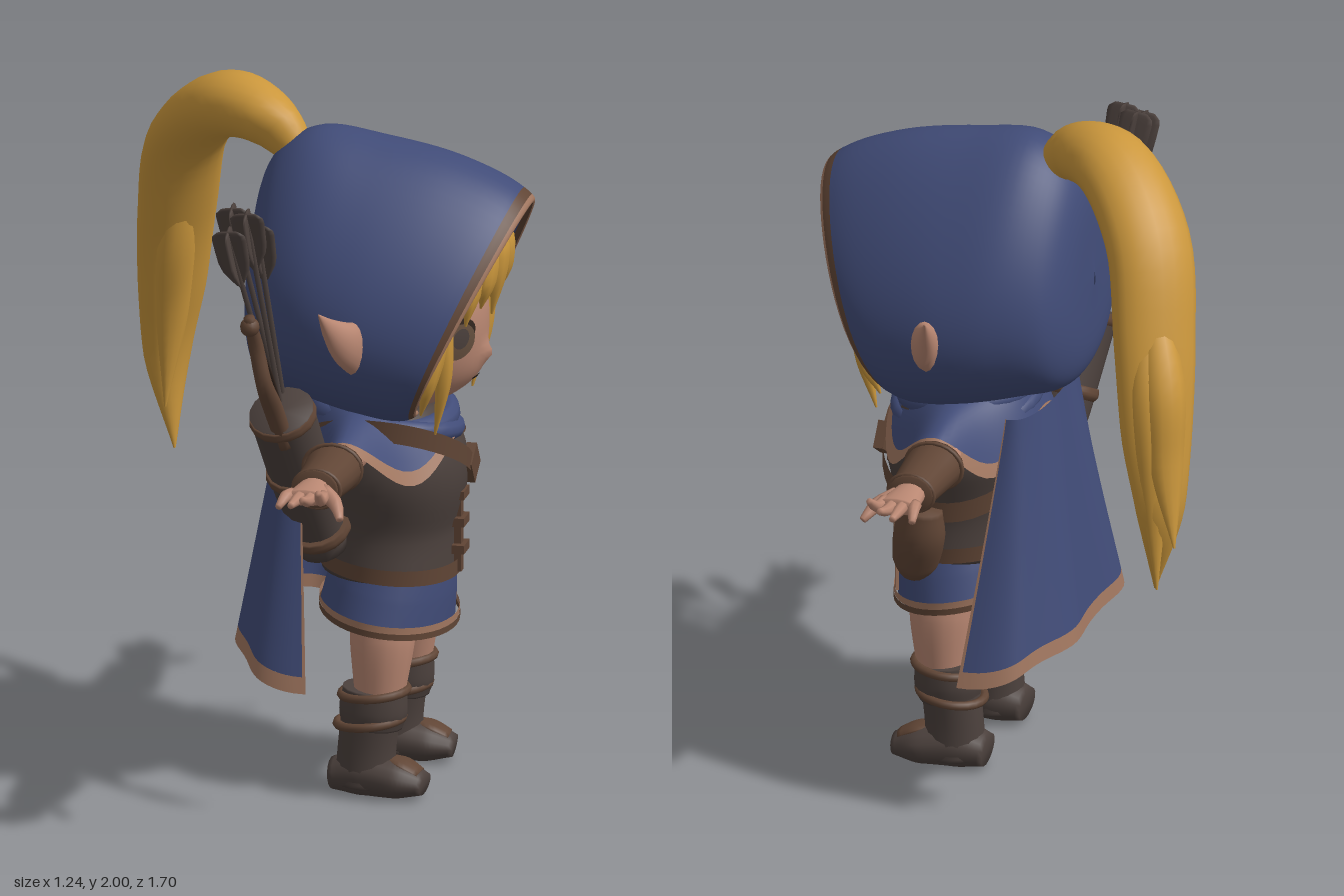
import * as THREE from 'three';
import { mergeVertices } from 'three/addons/utils/BufferGeometryUtils.js';

const mat = (name, color, side = THREE.FrontSide) => {
  const m = new THREE.MeshStandardMaterial({ color, side });
  m.name = name;
  return m;
};
const V = (x, y, z) => new THREE.Vector3(x, y, z);
const lerp = THREE.MathUtils.lerp;

// Smooth surface from a rule fn(u, v) over a range of u and v
function sheet(fn, nu, nv, [u0, u1, v0, v1] = [0, 1, 0, 1]) {
  const pos = [], idx = [];
  for (let j = 0; j <= nv; j++)
    for (let i = 0; i <= nu; i++) pos.push(...fn(lerp(u0, u1, i / nu), lerp(v0, v1, j / nv)).toArray());
  for (let j = 0; j < nv; j++)
    for (let i = 0; i < nu; i++) {
      const a = j * (nu + 1) + i, b = a + 1, c = b + nu + 1, d = a + nu + 1;
      idx.push(a, b, c, a, c, d);
    }
  let g = new THREE.BufferGeometry();
  g.setAttribute('position', new THREE.Float32BufferAttribute(pos, 3));
  g.setIndex(idx);
  g = mergeVertices(g, 1e-5);
  g.computeVertexNormals();
  return g;
}

// Closed tapering form along a path; radii are [along side, across side]
function tube(pts, radii, side = V(1, 0, 0), nu = 16, nv = 20) {
  const path = new THREE.CatmullRomCurve3(pts.map(p => V(...p)));
  const size = new THREE.CatmullRomCurve3(radii.map(r => (Array.isArray(r) ? V(r[0], r[1], 0) : V(r, r, 0))));
  return sheet((u, v) => {
    const t = THREE.MathUtils.clamp((v * (nv + 2) - 1) / nv, 0, 1);
    const T = path.getTangent(t), N = side.clone().addScaledVector(T, -T.dot(side)).normalize();
    const B = T.clone().cross(N), r = size.getPoint(t), k = v < 1e-6 || v > 1 - 1e-6 ? 0 : 1;
    const a = u * Math.PI * 2;
    return path.getPoint(t).addScaledVector(N, k * r.x * Math.cos(a)).addScaledVector(B, k * r.y * Math.sin(a));
  }, nu, nv + 2);
}

export function createModel() {
  const D = THREE.DoubleSide;
  const blue = mat('blueCloth', 0x414c78, D), trim = mat('clothTrim', 0xa0765f, D), gold = mat('goldenHair', 0xcb973c);
  const skin = mat('skin', 0xb98772), brown = mat('brownLeather', 0x604535, D), dark = mat('darkLeather', 0x4c413d);
  const black = mat('lashes', 0x33261f), iris = mat('iris', 0x66503f);
  const root = new THREE.Group();
  const add = (name, geo, m, parent = root) => {
    const o = new THREE.Mesh(geo, m);
    o.name = name;
    parent.add(o);
    return o;
  };
  const group = name => {
    const g = new THREE.Group();
    g.name = name;
    root.add(g);
    return g;
  };
  const X = V(1, 0, 0), Y = V(0, 1, 0), Z = V(0, 0, 1);

  // Head with a slightly projecting muzzle and nose
  const head = group('head');
  const bump = (y, z) => 0.03 * Math.exp(-(((y - 1.2) / 0.09) ** 2) - (z / 0.13) ** 2)
    + 0.02 * Math.exp(-(((y - 1.27) / 0.025) ** 2) - (z / 0.025) ** 2);
  const faceX = (y, z) => 0.21 + 0.285 * Math.sqrt(Math.max(0, 1 - ((y - 1.37) / 0.28) ** 2 - (z / 0.28) ** 2)) + bump(y, z);
  const skull = new THREE.SphereGeometry(1, 64, 48).scale(0.285, 0.28, 0.28).translate(0.21, 1.37, 0);
  const sp = skull.attributes.position;
  for (let i = 0; i < sp.count; i++)
    if (sp.getX(i) > 0.21) sp.setX(i, sp.getX(i) + bump(sp.getY(i), sp.getZ(i)));
  skull.computeVertexNormals();
  add('face', skull, skin, head);
  const patch = (name, y, z, h, w, lift, m) => {
    const g = new THREE.RingGeometry(0, 1, 24, 5), p = g.attributes.position;
    for (let i = 0; i < p.count; i++) {
      const py = y + p.getY(i) * h, pz = z - p.getX(i) * w;
      p.setXYZ(i, faceX(py, pz) + lift, py, pz);
    }
    g.computeVertexNormals();
    add(name, g, m, head);
  };
  for (const s of [1, -1]) {
    patch('eyeLash', 1.368, s * 0.16, 0.044, 0.07, 0.004, black);
    patch('eye', 1.342, s * 0.152, 0.053, 0.055, 0.007, iris);
    patch('pupil', 1.352, s * 0.15, 0.03, 0.026, 0.009, dark);
    // Pointed ears through the hood
    add('ear', tube([[0.2, 1.36, s * 0.33], [0.19, 1.4, s * 0.41], [0.16, 1.46, s * 0.48], [0.14, 1.525, s * 0.545]],
      [[0.08, 0.035], [0.065, 0.038], [0.033, 0.022], 0.002], Y), skin, head);
  }
  patch('mouth', 1.205, 0, 0.007, 0.05, 0.004, black);

  // Hair cap, fringe and side locks
  const hair = group('hair');
  add('hairCap', new THREE.SphereGeometry(1, 32, 24).scale(0.3, 0.18, 0.28).translate(0.21, 1.52, 0), gold, hair);
  for (const [z, tip, tz] of [[-0.2, 1.33, -0.25], [-0.13, 1.41, -0.19], [-0.05, 1.43, -0.1],
    [0.02, 1.39, 0.02], [0.09, 1.43, 0.1], [0.15, 1.4, 0.18], [0.21, 1.33, 0.25]]) {
    const zz = z * z;
    add('fringeLock', tube([[0.43, 1.68 - 3 * zz, z * 0.6], [0.53 - 2 * zz, 1.61 - 2.2 * zz, z * 0.85],
      [0.535 - 2 * zz, 1.52 - 1.4 * zz, (z + tz) / 2], [0.515 - 1.7 * zz, tip, tz]],
    [0.02, [0.03, 0.058], [0.025, 0.055], 0.003], X, 10, 12), gold, hair);
  }
  for (const s of [1, -1])
    for (const [z, y, x] of [[0.225, 1.09, 0.4], [0.275, 1.16, 0.37]])
      add('sideLock', tube([[0.41, 1.53, s * 0.2], [0.43, 1.42, s * 0.255], [x + 0.03, 1.27, s * (z + 0.025)], [x, y, s * z]],
        [0.03, [0.03, 0.04], [0.025, 0.035], 0.003], X, 10, 14), gold, hair);

  // Ponytail rising from the hood and falling to one side
  const tail = group('ponytail');
  add('ponytailMain', tube([[-0.03, 1.8, 0], [-0.14, 1.89, -0.05], [-0.28, 1.9, -0.14], [-0.43, 1.76, -0.28], [-0.49, 1.5, -0.39],
    [-0.52, 1.25, -0.455], [-0.54, 1.02, -0.48], [-0.51, 0.77, -0.44]],
  [0.04, [0.08, 0.09], [0.095, 0.115], [0.085, 0.125], [0.075, 0.12], [0.065, 0.105], [0.05, 0.07], 0.003], V(-0.4, 0.5, -0.4), 20, 40), gold, tail);
  for (const [x, y, z, dx, dz] of [[-0.61, 0.96, -0.56, -0.04, -0.05], [-0.54, 0.8, -0.51, 0, -0.05], [-0.53, 0.9, -0.41, 0.02, 0.05]])
    add('ponytailLock', tube([[-0.46, 1.66, -0.34], [-0.51 + dx, 1.4, -0.42 + dz], [-0.53 + dx, 1.18, -0.46 + dz], [x, y, z]],
      [0.03, [0.045, 0.06], [0.035, 0.05], 0.003], V(-0.7, 0, -0.7), 12, 20), gold, tail);

  // Hood: rings from back to opening, then folded inside; each is top x, top y, half width, bottom x, bottom y
  const hood = group('hood');
  const rings = [[-0.17, 1.5, 0.005, -0.17, 1.46], [-0.14, 1.76, 0.2, -0.16, 1.24], [-0.08, 1.85, 0.28, -0.12, 1.17],
    [0.02, 1.9, 0.34, 0, 1.13], [0.2, 1.88, 0.375, 0.12, 1.1], [0.4, 1.84, 0.375, 0.22, 1.08], [0.57, 1.77, 0.355, 0.29, 1.08],
    [0.625, 1.72, 0.33, 0.32, 1.1], [0.57, 1.69, 0.305, 0.28, 1.13], [0.25, 1.7, 0.28, 0.15, 1.16]];
  const tops = new THREE.CatmullRomCurve3(rings.map(r => V(r[0], r[1], r[2])));
  const lows = new THREE.CatmullRomCurve3(rings.map(r => V(r[3], r[4], 0)));
  const hoodAt = (u, v) => {
    const a = u * Math.PI * 2, c = Math.cos(a), p = tops.getPoint(v), q = lows.getPoint(v), k = (1 + c) / 2;
    return V(lerp(q.x, p.x, k), lerp(q.y, p.y, k), p.z * Math.sin(a) * (1 - 0.3 * c));
  };
  add('hoodShell', sheet(hoodAt, 56, 36, [0, 1, 0, 0.7]), blue, hood);
  add('hoodBinding', sheet(hoodAt, 56, 3, [0, 1, 0.7, 0.74]), brown, hood);
  add('hoodTrim', sheet(hoodAt, 56, 5, [0, 1, 0.74, 0.81]), trim, hood);
  add('hoodInnerBinding', sheet(hoodAt, 56, 4, [0, 1, 0.81, 0.85]), brown, hood);
  add('hoodLining', sheet(hoodAt, 56, 8, [0, 1, 0.85, 1]), blue, hood);

  // Cape with a trimmed edge
  const cape = group('cape');
  const capeAt = (u, v) => {
    const a = (u - 0.5) * Math.PI, s = Math.sin(a), c = Math.max(0, Math.cos(a));
    const edge = lerp(0.01, 0.08, v), back = lerp(-0.07, -0.185, v);
    const fold = 0.012 * v * Math.cos(a * 8);
    return V(lerp(edge, back, c ** 0.75) + fold * c, lerp(1.12, 0.44 - 0.07 * s ** 4, v),
      lerp(0.24, 0.45, v ** 1.15) * Math.sign(s) * Math.abs(s) ** 0.8);
  };
  add('capeCloth', sheet(capeAt, 48, 20, [0.004, 0.996, 0, 0.94]), blue, cape);
  add('capeHem', sheet(capeAt, 48, 2, [0, 1, 0.94, 1]), trim, cape);
  for (const u of [0, 0.996]) add('capeSideTrim', sheet(capeAt, 2, 20, [u, u + 0.004, 0, 0.94]), trim, cape);

  // Shoulder mantle draped over the arms, and scarf
  const mantle = group('mantle');
  const mantleAt = (u, v) => {
    const a = u * Math.PI * 2, s = Math.abs(Math.sin(a)), c = Math.cos(a);
    const hem = 1.04 - 0.1 * Math.sin(2 * a) ** 2 + 0.045 * s ** 6;
    const wide = lerp(0.12, 0.37 + 0.04 * s ** 8, v);
    return V(0.17 + c * lerp(0.13, c > 0 ? 0.25 : 0.19, v), lerp(1.15, hem, v ** 1.5), Math.sin(a) * wide);
  };
  add('mantleCloth', sheet(mantleAt, 64, 10, [0, 1, 0, 0.88]), blue, mantle);
  add('mantleTrim', sheet(mantleAt, 64, 2, [0, 1, 0.88, 1]), trim, mantle);
  for (const [y, r, t, lean] of [[1.09, 0.17, 0.035, 0.08], [1.06, 0.19, 0.03, -0.15]])
    add('scarfFold', new THREE.TorusGeometry(r, t, 10, 32).rotateX(Math.PI / 2 + lean).rotateZ(-0.12).translate(0.21, y, 0), blue, mantle);

  // Vest, hem, strap and front fastenings
  const body = group('body');
  add('vest', tube([[0.215, 0.63, 0], [0.215, 0.75, 0], [0.22, 0.93, 0], [0.18, 1.09, 0]],
    [[0.19, 0.21], [0.19, 0.195], [0.215, 0.235], [0.17, 0.21]], X, 32), dark, body);
  const band = (name, y, h, rx, rz, m, slope, dip) => add(name, sheet((u, v) => {
    const a = u * Math.PI * 2, z = -rz * Math.sin(a);
    return V(0.215 + rx * Math.cos(a), y + slope * z - dip * Math.cos(a) + (v - 0.5) * h, z);
  }, 40, 2), m, body);
  band('vestHem', 0.655, 0.045, 0.2, 0.22, brown, 0, 0.02);
  band('chestStrap', 0.95, 0.06, 0.232, 0.25, brown, 0.58, 0);
  add('vestPlacket', new THREE.BoxGeometry(0.02, 0.28, 0.03).translate(0.415, 0.76, 0), brown, body);
  for (const y of [0.69, 0.77, 0.85])
    add('toggle', new THREE.BoxGeometry(0.035, 0.025, 0.07).translate(0.42, y, 0), brown, body);
  add('strapBuckle', new THREE.BoxGeometry(0.03, 0.08, 0.08).rotateX(0.6).translate(0.435, 0.92, -0.06), brown, body);
  add('pouch', tube([[0.29, 0.6, -0.225], [0.28, 0.64, -0.235], [0.26, 0.73, -0.26], [0.25, 0.82, -0.265]],
    [0.04, [0.065, 0.06], [0.075, 0.062], [0.06, 0.05]]), brown, body);
  // Skirt, lower at the front
  add('skirt', tube([[0.24, 0.68, 0], [0.225, 0.59, 0], [0.21, 0.5, 0]], [[0.165, 0.19], [0.18, 0.225], [0.188, 0.255]], X, 32), blue, body);
  band('skirtHem', 0.498, 0.018, 0.194, 0.261, brown, 0, 0.03);
  band('skirtTrim', 0.516, 0.02, 0.193, 0.259, trim, 0, 0.03);
  add('skirtSeam', new THREE.BoxGeometry(0.014, 0.13, 0.022).rotateY(0.46).translate(0.368, 0.56, -0.135), trim, body);

  for (const s of [1, -1]) {
    const side = s > 0 ? 'right' : 'left';
    // Arm, bracer and spread hand
    const arm = group(side + 'Arm');
    add('upperArm', tube([[0.16, 1.03, s * 0.18], [0.155, 1.025, s * 0.3], [0.15, 1.03, s * 0.45]], [0.06, 0.055, 0.045]), skin, arm);
    add('bracer', tube([[0.155, 1.035, s * 0.41], [0.155, 1.035, s * 0.5], [0.15, 1.04, s * 0.64]], [[0.084, 0.07], [0.076, 0.064], [0.064, 0.054]], X), brown, arm);
    for (const [z, r] of [[0.43, 0.083], [0.62, 0.067]])
      add('bracerCuff', new THREE.TorusGeometry(r, 0.007, 8, 24).scale(1, 0.84, 1).translate(0.153, 1.037, s * z), brown, arm);
    add('palm', tube([[0.15, 1.04, s * 0.61], [0.15, 1.045, s * 0.67], [0.15, 1.05, s * 0.75]], [[0.04, 0.035], [0.05, 0.03], [0.06, 0.022]]), skin, arm);
    for (const [x0, x, y, z] of [[0.105, 0.085, 1.035, 0.8], [0.135, 0.13, 1.055, 0.84], [0.165, 0.165, 1.075, 0.845], [0.195, 0.205, 1.09, 0.82]])
      add('finger', tube([[x0, 1.05, s * 0.72], [(x0 + x) / 2, 1.053, s * (z + 0.72) / 2], [x, y, s * z]], [0.019, 0.017, 0.01], X, 8, 6), skin, arm);
    add('thumb', tube([[0.18, 1.045, s * 0.66], [0.225, 1.025, s * 0.7], [0.25, 0.995, s * 0.75]], [0.024, 0.021, 0.011], Y, 8, 6), skin, arm);
    // Leg and boot
    const leg = group(side + 'Leg');
    add('thigh', tube([[0.23, 0.54, s * 0.13], [0.23, 0.44, s * 0.15], [0.225, 0.27, s * 0.165]], [0.098, 0.092, 0.068]), skin, leg);
    add('bootShaft', tube([[0.185, 0.03, s * 0.165], [0.19, 0.14, s * 0.165], [0.205, 0.27, s * 0.163]], [[0.088, 0.08], [0.084, 0.074], [0.085, 0.08]]), dark, leg);
    add('bootCuff', tube([[0.203, 0.2, s * 0.163], [0.207, 0.25, s * 0.162], [0.212, 0.31, s * 0.16]], [[0.087, 0.08], [0.098, 0.088], [0.092, 0.086]]), dark, leg);
    for (const [y, r, tilt] of [[0.3, 0.086, 0.1], [0.215, 0.086, 0.12]])
      add('cuffBinding', new THREE.TorusGeometry(r, 0.013, 8, 24).rotateX(Math.PI / 2).scale(1.08, 1, 1).rotateZ(tilt).translate(0.165 + y * 0.15, y, s * 0.163), brown, leg);
    const foot = tube([[0.09, 0.05, s * 0.162], [0.18, 0.06, s * 0.165], [0.28, 0.052, s * 0.174], [0.36, 0.04, s * 0.18]],
      [[0.045, 0.06], [0.065, 0.08], [0.058, 0.082], [0.03, 0.05]], Y);
    const fp = foot.attributes.position;
    for (let i = 0; i < fp.count; i++) fp.setY(i, Math.max(0, fp.getY(i)));
    foot.computeVertexNormals();
    add('bootFoot', foot, dark, leg);
    add('bootToe', tube([[0.25, 0.11, s * 0.171], [0.3, 0.096, s * 0.175], [0.345, 0.072, s * 0.179]], [[0.008, 0.025], [0.012, 0.045], [0.012, 0.035]], Y, 10, 8), brown, leg);
  }

  // Quiver with arrows, slung across the back
  const quiver = group('quiver');
  const base = V(0.06, 0.72, 0.16), mouth = V(0, 1.19, 0.41), along = t => base.clone().lerp(mouth, t).toArray();
  add('quiverBody', tube([along(0), along(0.5), along(1)], [0.075, 0.088, 0.092], X), dark, quiver);
  for (const t of [0.12, 0.55, 0.95])
    add('quiverBand', tube([along(t - 0.04), along(t), along(t + 0.04)], [0.084, 0.098, 0.094], X, 16, 6), brown, quiver);
  for (const [x, y, z, bz] of [[-0.12, 1.73, 0.54, 0.38], [-0.08, 1.77, 0.49, 0.36], [-0.13, 1.77, 0.45, 0.34], [-0.07, 1.71, 0.41, 0.33]]) {
    add('arrowShaft', tube([[0, 1.12, bz], [x / 2, (1.12 + y) / 2, (bz + z) / 2], [x, y, z]], [0.008, 0.008, 0.008], X, 6, 4), dark, quiver);
    for (const side of [X, Z])
      add('fletching', tube([[x * 0.8, y - 0.15, z - 0.04], [x * 0.9, y - 0.09, z - 0.025], [x, y, z], [x * 1.02, y + 0.02, z + 0.006]],
        [[0.01, 0.004], [0.045, 0.005], [0.05, 0.005], [0.03, 0.004]], side, 8, 8), dark, quiver);
  }
  // Bow tucked beside the quiver
  const bow = group('bow');
  add('bowLimb', tube([[0.02, 1.1, 0.44], [0, 1.22, 0.5], [-0.01, 1.32, 0.575], [-0.03, 1.43, 0.585], [-0.04, 1.53, 0.63]],
    [0.026, 0.028, 0.024, 0.022, 0.016], X, 10, 24), brown, bow);
  add('bowTip', new THREE.SphereGeometry(0.028, 12, 8).translate(-0.04, 1.5, 0.62), brown, bow);
  add('bowString', tube([[-0.04, 1.47, 0.605], [-0.02, 1.36, 0.5], [0, 1.2, 0.41]], [0.005, 0.005, 0.005], X, 6, 6), black, bow);
  return root;
}
